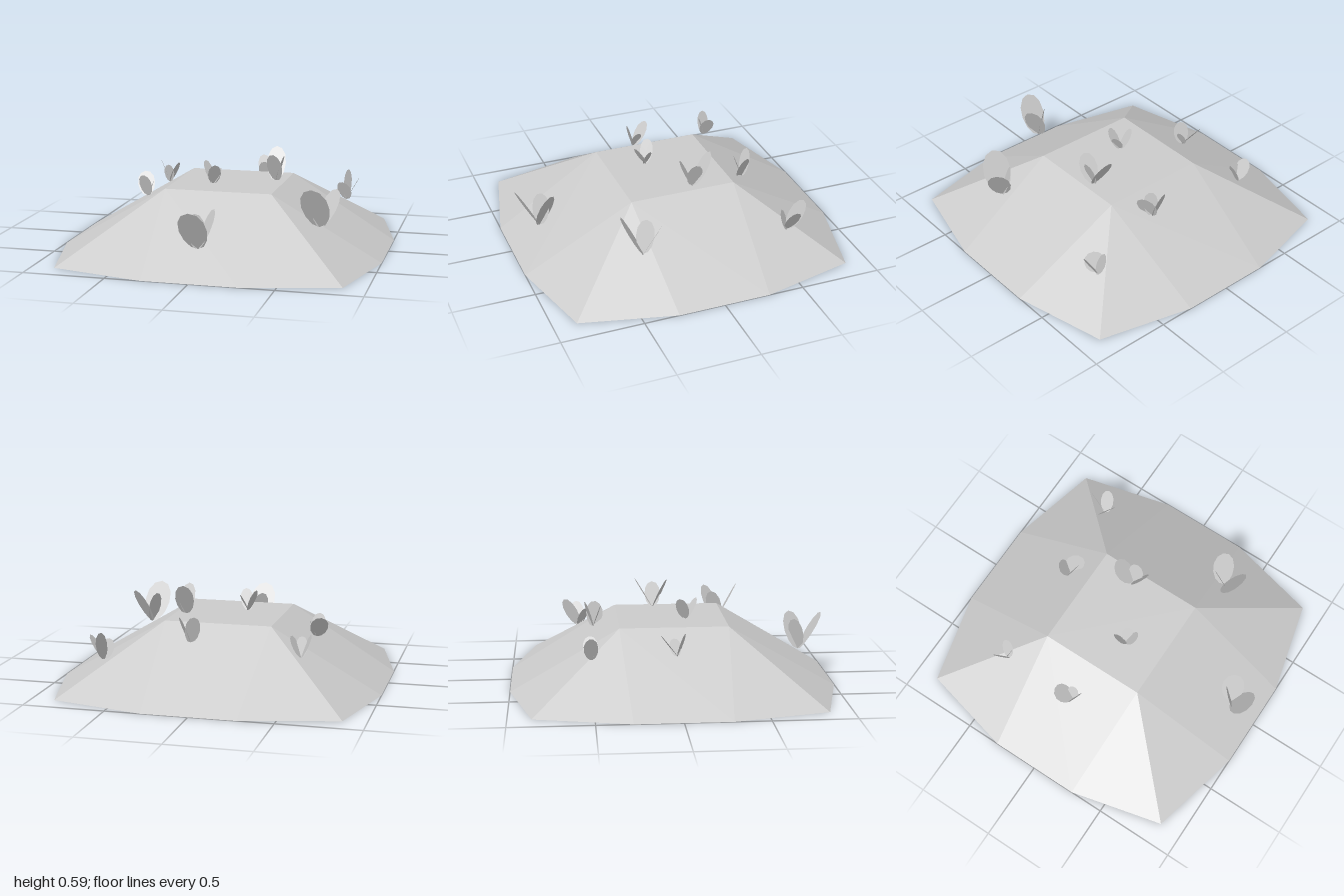
import * as THREE from 'three';

const material = new THREE.MeshStandardMaterial({
  color: 0xcccccc, flatShading: true, side: THREE.DoubleSide,
});

// Open faceted shell: one quarter of the slopes, turned four times, plus a flat top.
function createMound() {
  const H = 0.395, T = 0.333;
  const positions = [];
  const turn = ([x, y, z], q) => {
    for (let i = 0; i < q; i++) [x, z] = [-z, x];
    return [x, y, z];
  };
  const tri = (...corners) => corners.forEach((p) => positions.push(...p));
  const before = [1, 0, 0.285], corner = [0.86, 0, 0.86], after = [0.285, 0, 1], inner = [T, H, T];
  const rim = [0, 1, 2, 3].map((q) => turn(inner, q));
  for (let q = 0; q < 4; q++) {
    const [b, c, a, nextB] = [turn(before, q), turn(corner, q), turn(after, q), turn(before, q + 1)];
    const i = rim[q], nextI = rim[(q + 1) % 4];
    tri(b, i, c);
    tri(c, i, a);
    tri(a, i, nextI);
    tri(a, nextI, nextB);
  }
  tri(rim[0], rim[3], rim[2]);
  tri(rim[0], rim[2], rim[1]);
  const geometry = new THREE.BufferGeometry();
  geometry.setAttribute('position', new THREE.Float32BufferAttribute(positions, 3));
  geometry.computeVertexNormals();
  const mound = new THREE.Mesh(geometry, material);
  mound.name = 'mound';
  return mound;
}

// Unit leaf: a flat oval standing on its stem end, slightly narrower below.
const leafGeometry = new THREE.CircleGeometry(0.5, 12, Math.PI / 2).translate(0, 0.5, 0);
const outline = leafGeometry.attributes.position;
for (let i = 0; i < outline.count; i++) {
  outline.setX(i, outline.getX(i) * (0.9 + 0.2 * outline.getY(i)));
}

// A leaf reaches from the origin to its tip; its width runs along a horizontal heading.
function createLeaf([x, y, z, heading, width]) {
  const tip = new THREE.Vector3(x, y, z);
  const length = tip.length();
  const up = tip.clone().normalize();
  const a = THREE.MathUtils.degToRad(heading);
  const across = new THREE.Vector3(Math.cos(a), 0, Math.sin(a));
  across.addScaledVector(up, -across.dot(up)).normalize();
  const normal = new THREE.Vector3().crossVectors(across, up);
  const leaf = new THREE.Mesh(leafGeometry, material);
  leaf.name = 'leaf';
  leaf.quaternion.setFromRotationMatrix(new THREE.Matrix4().makeBasis(across, up, normal));
  leaf.scale.set(width, length, 1);
  return leaf;
}

// Each sprout: foot position, then leaves as [tip x, y, z, heading in degrees, width].
const sprouts = [
  { at: [0.01, 0.16, 0.82], leaves: [[-0.02, 0.24, 0.14, 0, 0.17], [0.085, 0.23, -0.05, 58, 0.14], [-0.03, 0.2, -0.03, -42, 0.12]] },
  { at: [0.635, 0.22, 0.37], leaves: [[-0.03, 0.25, 0.13, 10, 0.18], [0.09, 0.22, -0.08, 40, 0.14], [-0.045, 0.2, -0.04, -62, 0.11]] },
  { at: [0.27, 0.39, -0.09], leaves: [[-0.02, 0.2, -0.12, 0, 0.12], [0, 0.18, 0.09, 20, 0.11], [0.05, 0.16, 0, 90, 0.1]] },
  { at: [0.645, 0.19, -0.56], leaves: [[0, 0.18, -0.1, -67, 0.09], [0.085, 0.15, -0.02, 90, 0.09], [-0.02, 0.12, 0.04, 32, 0.12]] },
  { at: [0.13, 0.3, -0.48], leaves: [[-0.04, 0.17, -0.05, -15, 0.09], [0.075, 0.15, 0.02, 60, 0.12], [-0.01, 0.14, 0.05, 10, 0.1]] },
  { at: [-0.09, 0.39, 0.09], leaves: [[-0.06, 0.14, -0.04, 110, 0.08], [0.03, 0.13, 0.07, -20, 0.08], [0.05, 0.1, -0.01, 60, 0.07]] },
  { at: [-0.55, 0.27, 0], leaves: [[-0.045, 0.14, -0.1, -10, 0.11], [-0.01, 0.14, 0.045, 20, 0.1], [0.04, 0.1, -0.02, 80, 0.07]] },
  { at: [-0.55, 0.26, -0.5], leaves: [[-0.065, 0.14, -0.02, 70, 0.09], [0.06, 0.13, -0.02, 100, 0.09], [0, 0.12, 0.03, 5, 0.07]] },
];

export function createModel() {
  const model = new THREE.Group();
  model.name = 'leafyMound';
  model.add(createMound());
  for (const { at, leaves } of sprouts) {
    const sprout = new THREE.Group();
    sprout.name = 'sprout';
    sprout.position.set(...at);
    leaves.forEach((leaf) => sprout.add(createLeaf(leaf)));
    model.add(sprout);
  }
  return model;
}
